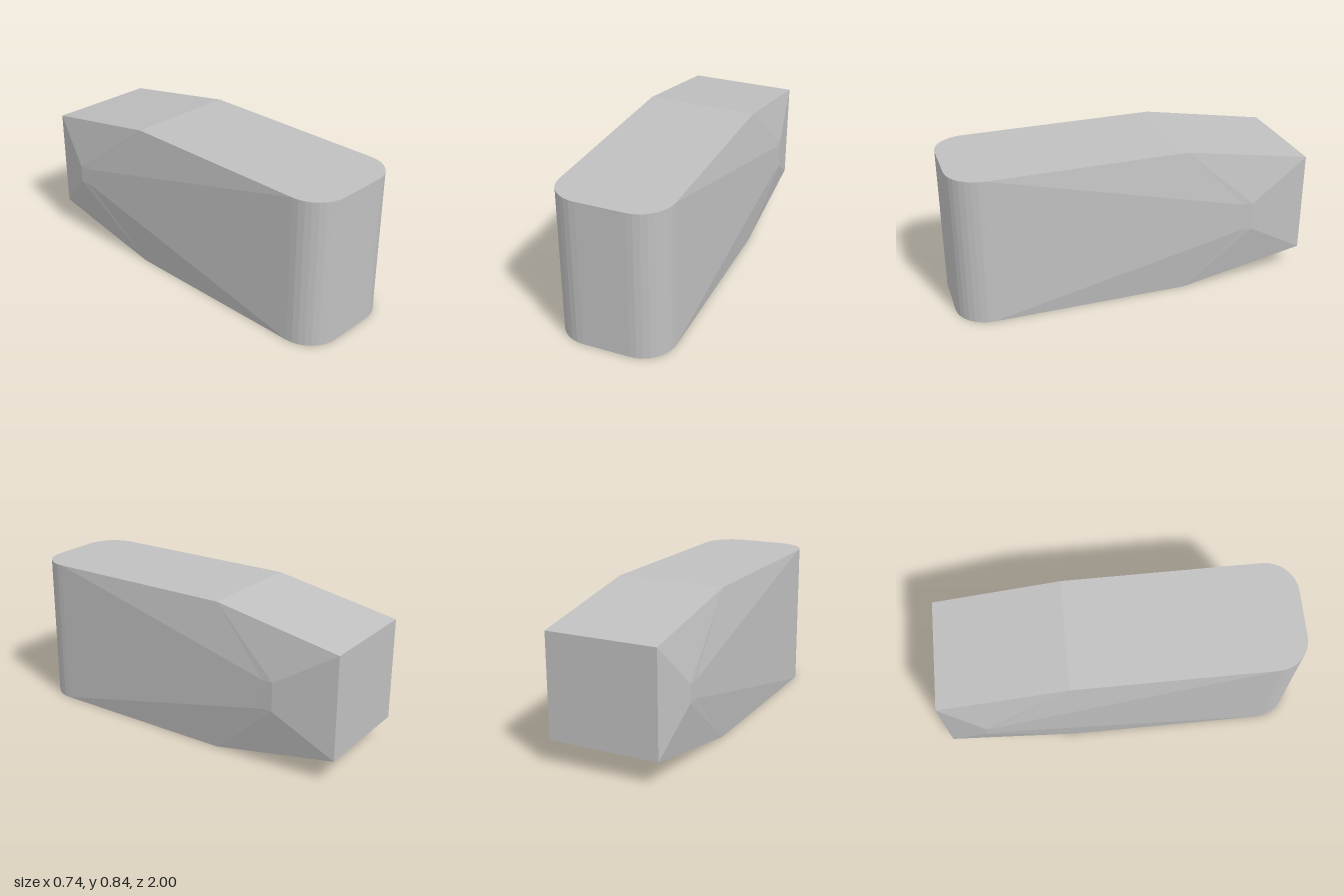
import * as THREE from 'three';

const H = 0.84;                 // full height
const BACK_LOW = 0.135, BACK_HIGH = 0.71;
const BEND = -0.28;             // z where top and bottom begin to taper
const R = 0.18;                 // front corner radius
const W = 0.313;                // half width of the body

export function createModel() {
  const group = new THREE.Group();
  const grey = new THREE.MeshStandardMaterial({ color: 0xc0c0c0 });
  grey.name = 'plain grey';
  const centre = new THREE.Vector3(0, H / 2, 0);

  // Builds flat polygons, each turned to face away from the body's centre
  function addPart(name, polygons) {
    const positions = [];
    for (const polygon of polygons) {
      const p = polygon.map((c) => new THREE.Vector3(...c));
      for (let i = 1; i < p.length - 1; i++) {
        const tri = [p[0], p[i], p[i + 1]];
        const normal = tri[1].clone().sub(tri[0]).cross(tri[2].clone().sub(tri[0]));
        if (normal.dot(tri[0].clone().sub(centre)) < 0) tri.reverse();
        tri.forEach((v) => positions.push(v.x, v.y, v.z));
      }
    }
    const geometry = new THREE.BufferGeometry();
    geometry.setAttribute('position', new THREE.Float32BufferAttribute(positions, 3));
    geometry.computeVertexNormals();
    const mesh = new THREE.Mesh(geometry, grey);
    mesh.name = name;
    group.add(mesh);
  }

  // Rounded nose outline, from the left side round to the right side
  const nose = [];
  for (const side of [1, -1]) {
    for (let i = 0; i <= 8; i++) {
      const a = (side > 0 ? i : 8 - i) / 8 * Math.PI / 2;
      nose.push([side * (W - R + R * Math.cos(a)), 1 - R + R * Math.sin(a)]);
    }
  }
  const noseWall = [];
  for (let i = 0; i < nose.length - 1; i++) {
    const [[x0, z0], [x1, z1]] = [nose[i], nose[i + 1]];
    noseWall.push([[x0, 0, z0], [x1, 0, z1], [x1, H, z1], [x0, H, z0]]);
  }
  addPart('roundedNose', noseWall);

  // Level and tapered panels above and below
  for (const [name, y, yBack] of [['top', H, BACK_HIGH], ['bottom', 0, BACK_LOW]]) {
    addPart(name + 'Panel', [[[W, y, BEND], ...nose.map(([x, z]) => [x, y, z]), [-W, y, BEND]]]);
    addPart(name + 'Taper', [[[W, y, BEND], [-W, y, BEND], [-W, yBack, -1], [W, yBack, -1]]]);
  }
  addPart('backPanel', [[[-W, BACK_LOW, -1], [W, BACK_LOW, -1], [W, BACK_HIGH, -1], [-W, BACK_HIGH, -1]]]);

  // Bulged sides: facets meet at a small raised patch near the back
  function addSide(name, s, zFront, zBack, low, high) {
    const x = s * W, zNose = 1 - R;
    const peakF = s * 0.366, peakB = s * 0.369;
    const facets = [
      [[x, 0, zNose], [x, H, zNose], [peakF, high, zFront], [peakF, low, zFront]],
      [[peakF, low, zFront], [peakF, high, zFront], [peakB, high, zBack], [peakB, low, zBack]],
      [[peakB, low, zBack], [peakB, high, zBack], [x, BACK_HIGH, -1], [x, BACK_LOW, -1]],
    ];
    for (const [y, yBack, yPeak] of [[H, BACK_HIGH, high], [0, BACK_LOW, low]]) {
      facets.push(
        [[x, y, zNose], [x, y, BEND], [peakF, yPeak, zFront]],
        [[x, y, BEND], [peakB, yPeak, zBack], [peakF, yPeak, zFront]],
        [[x, y, BEND], [x, yBack, -1], [peakB, yPeak, zBack]],
      );
    }
    addPart(name, facets);
  }
  addSide('leftSide', 1, -0.6, -0.66, 0.34, 0.5);
  addSide('rightSide', -1, -0.7, -0.77, 0.37, 0.47);

  return group;
}
